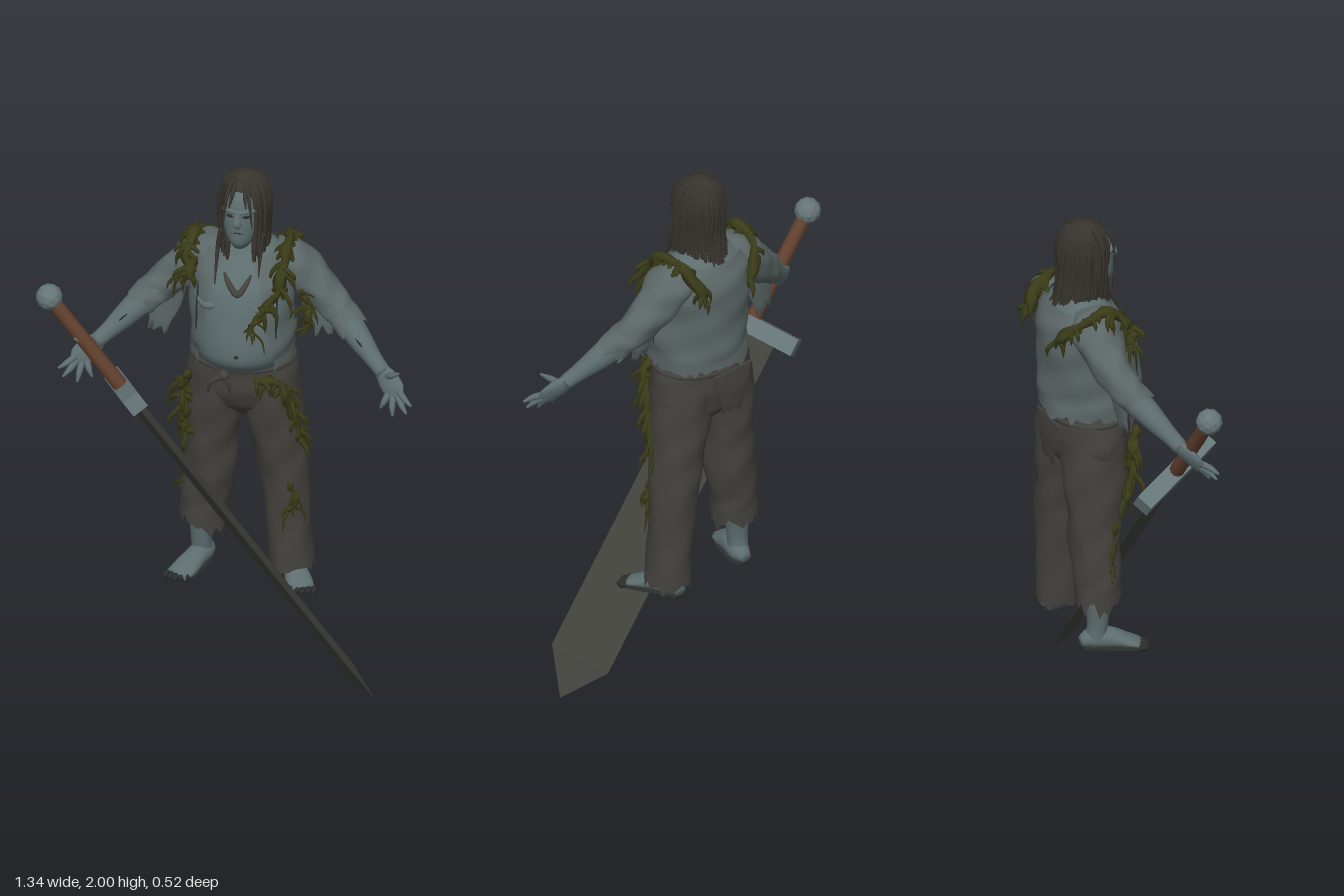
import * as THREE from 'three';

const paint = (name, color, side = THREE.FrontSide) => Object.assign(new THREE.MeshStandardMaterial({ color, side }), { name });
const V = (x, y, z) => new THREE.Vector3(x, y, z);

export function createModel() {
  const D = THREE.DoubleSide;
  const skin = paint('skin', 0x5d6d6e), shirt = paint('shirt', 0x5b6666, D), cloth = paint('trousers', 0x44423d, D);
  const hair = paint('hair', 0x38342e), moss = paint('moss', 0x3a3b18), dark = paint('dark marks', 0x2a2d2d, D);
  const steel = paint('steel', 0x667578), iron = paint('blade', 0x42423d), leather = paint('grip', 0x62402e);
  const root = new THREE.Group();
  let seed = 7;
  const rnd = () => (seed = (seed * 16807) % 2147483647) / 2147483647;
  const jitter = (s) => (rnd() - 0.5) * 2 * s;

  const add = (name, geo, mat, parent = root) => {
    const m = new THREE.Mesh(geo, mat);
    m.name = name;
    parent.add(m);
    return m;
  };

  // Smooth skin over elliptical sections [x, y, z, rx, rz] along a curve.
  // flat: horizontal sections; gap(t): half-angle left open at the front; jag: ragged last edge
  function sweep(name, mat, pts, o = {}) {
    const { seg = 16, rows = pts.length * 4, ref = V(0, 0, 1), flat, gap, jag = 0, wrinkle = 0, open } = o;
    const path = new THREE.CatmullRomCurve3(pts.map((p) => V(p[0], p[1], p[2])));
    const size = new THREE.CatmullRomCurve3(pts.map((p, i) => V(p[3], p[4] ?? p[3], i * 0.1)));
    const pos = [], idx = [], cols = gap ? seg + 1 : seg;
    const teeth = Array.from({ length: cols }, () => rnd() * jag);
    for (let i = 0; i <= rows; i++) {
      const t = i / rows, p = path.getPoint(t), r = size.getPoint(t);
      const T = flat ? V(0, -1, 0) : path.getTangent(t);
      const S = ref.clone().cross(T).normalize(), U = T.clone().cross(S);
      const g = gap ? gap(t) : 0, start = gap ? Math.PI / 2 + g : 0;
      for (let j = 0; j < cols; j++) {
        const a = start + (j / seg) * (Math.PI * 2 - 2 * g);
        const k = 1 + wrinkle * (Math.sin(5 * a + 11 * t) + Math.sin(3 * a - 23 * t)) * 0.5;
        const q = p.clone().addScaledVector(S, Math.cos(a) * r.x * k).addScaledVector(U, Math.sin(a) * r.y * k);
        if (i === rows) q.addScaledVector(T, teeth[j]);
        pos.push(q.x, q.y, q.z);
      }
    }
    for (let i = 0; i < rows; i++) for (let j = 0; j < seg; j++) {
      const n = gap ? j + 1 : (j + 1) % seg, a = i * cols + j, b = i * cols + n;
      idx.push(a, b, b + cols, a, b + cols, a + cols);
    }
    if (!open && !gap) {
      const c = pos.length / 3, e = rows * cols, p0 = path.getPoint(0), p1 = path.getPoint(1);
      pos.push(p0.x, p0.y, p0.z, p1.x, p1.y, p1.z);
      for (let j = 0; j < seg; j++) {
        const n = (j + 1) % seg;
        idx.push(c, n, j, c + 1, e + j, e + n);
      }
    }
    const geo = new THREE.BufferGeometry();
    geo.setAttribute('position', new THREE.Float32BufferAttribute(pos, 3));
    geo.setIndex(idx);
    geo.computeVertexNormals();
    return add(name, geo, mat, o.parent);
  }

  // Torso with heavy belly, and the open shirt over it
  const trunk = [[0.03, 1.8, -0.07, 0.05, 0.055], [0.03, 1.74, -0.08, 0.07, 0.068], [0.03, 1.7, -0.085, 0.125, 0.09],
    [0.03, 1.65, -0.08, 0.165, 0.125], [0.03, 1.58, -0.062, 0.175, 0.155], [0.03, 1.48, -0.045, 0.172, 0.166],
    [0.035, 1.38, -0.037, 0.172, 0.174], [0.035, 1.32, -0.04, 0.165, 0.168], [0.03, 1.26, -0.06, 0.15, 0.13]];
  sweep('torso', skin, trunk, { flat: true, seg: 32 });
  sweep('shirt', shirt, [...trunk.slice(2, 7).map(([x, y, z, a, b]) => [x, y, z - 0.004, a + 0.01, b + 0.009]),
    [0.03, 1.31, -0.05, 0.18, 0.175]], { flat: true, seg: 48, gap: (t) => 0.3 + 0.55 * t, jag: 0.04, wrinkle: 0.025, rows: 30 });
  const navel = add('navel', new THREE.CircleGeometry(0.008, 10), dark);
  navel.position.set(0.045, 1.365, 0.1375);
  for (const x of [-0.07, 0.13])
    sweep('chestFold', skin, [[x - 0.05, 1.545, x < 0 ? 0.035 : 0.085, 0.006], [x, 1.53, 0.08, 0.014], [x + 0.05, 1.545, x < 0 ? 0.085 : 0.035, 0.006]], { seg: 8 });
  sweep('collarTrim', cloth, [[-0.015, 1.65, 0.045, 0.004], [0.005, 1.62, 0.066, 0.011], [0.04, 1.59, 0.088, 0.012],
    [0.065, 1.62, 0.066, 0.009], [0.08, 1.65, 0.045, 0.004]], { seg: 8, ref: V(0, 0.01, 1) });
  for (const [x, y] of [[-0.108, 1.36], [0.172, 1.42]])
    sweep('shirtEdge', dark, [[x, 1.6, 0.04, 0.002], [x, 1.5, 0.064, 0.004], [x, y, 0.072, 0.002]], { seg: 6 });

  // Head and face
  sweep('head', skin, [[0.03, 1.97, -0.06, 0.04, 0.045], [0.03, 1.93, -0.06, 0.066, 0.084], [0.03, 1.87, -0.05, 0.069, 0.088],
    [0.03, 1.81, -0.045, 0.064, 0.087], [0.03, 1.765, -0.04, 0.05, 0.08], [0.03, 1.735, -0.035, 0.032, 0.055]], { flat: true, seg: 24 });
  sweep('nose', skin, [[0.03, 1.895, 0.03, 0.009], [0.03, 1.87, 0.042, 0.012], [0.03, 1.85, 0.049, 0.016, 0.013], [0.03, 1.836, 0.04, 0.01]]);
  sweep('brow', skin, [[-0.025, 1.888, 0.008, 0.006], [0, 1.893, 0.027, 0.009], [0.03, 1.889, 0.032, 0.008], [0.06, 1.893, 0.027, 0.009], [0.085, 1.888, 0.008, 0.006]]);
  sweep('mouth', dark, [[0.008, 1.808, 0.036, 0.001], [0.03, 1.811, 0.041, 0.003], [0.052, 1.808, 0.036, 0.001]], { seg: 6 });
  for (const s of [-1, 1]) {
    const eye = add('eye', new THREE.SphereGeometry(1, 10, 6), dark);
    eye.scale.set(0.014, 0.006, 0.004);
    eye.position.set(0.03 + s * 0.029, 1.874, 0.031);
    eye.rotation.y = s * 0.35;
  }

  // Hair cap and hanging wet strands
  const cap = add('hairCap', new THREE.SphereGeometry(1, 24, 16), hair);
  cap.scale.set(0.081, 0.098, 0.086);
  cap.position.set(0.033, 1.902, -0.07);
  for (let i = 0; i < 46; i++) {
    const a = 0.68 + (i / 45) * (Math.PI * 2 - 1.36), s = Math.sin(a), c = Math.cos(a);
    const at = (k, y, r, kz = k) => [0.035 + s * 0.08 * k + jitter(0.006), y, -0.068 + c * 0.085 * kz + jitter(0.004), r, r * 0.8];
    const end = c < 0 ? 1.45 : 1.2;
    sweep('hairStrand', hair, [at(0.15, 1.99, 0.008), at(0.72, 1.966, 0.013), at(1, 1.9, 0.012), at(0.98, 1.8, 0.011),
      at(0.98, 1.73, 0.009, 1.15), at(c < 0 ? 0.95 : 1.05, 1.66 + jitter(0.045), 0.002, end)], { seg: 6, rows: 14 });
  }
  for (const [x, x2, y2] of [[0, -0.022, 1.84], [0.05, 0.08, 1.83], [0.015, -0.002, 1.9], [0.045, 0.058, 1.905]])
    sweep('foreheadStrand', hair, [[x, 1.985, -0.03, 0.007], [(x + x2) / 2, 1.945, 0.016, 0.007], [x2, y2, 0.03, 0.002]], { seg: 6 });
  for (const [x, y, z] of [[-0.045, 1.61, 0.065], [0.105, 1.64, 0.045]])
    sweep('chestStrand', hair, [[x + 0.01, 1.8, 0.005, 0.008], [x, 1.73, 0.005, 0.008], [x, y, z, 0.002]], { seg: 6 });

  // Trousers: seat, two legs with torn hems, tied belt
  const cut = { open: true, seg: 30, wrinkle: 0.045, rows: 28 };
  sweep('trouserSeat', cloth, [[0.03, 1.305, -0.066, 0.172, 0.14], [0.03, 1.25, -0.068, 0.19, 0.138], [0.03, 1.17, -0.07, 0.2, 0.133],
    [0.033, 1.1, -0.075, 0.185, 0.11], [0.033, 1.05, -0.075, 0.1, 0.06], [0.033, 1.03, -0.075, 0.05, 0.04]], { flat: true, seg: 30, wrinkle: 0.015 });
  sweep('rightTrouserLeg', cloth, [[-0.06, 1.2, -0.07, 0.1, 0.125], [-0.072, 1.05, -0.075, 0.1, 0.116], [-0.084, 0.92, -0.078, 0.092, 0.101],
    [-0.087, 0.8, -0.083, 0.093, 0.092], [-0.108, 0.67, -0.085, 0.085, 0.082], [-0.112, 0.6, -0.085, 0.085, 0.08]], { ...cut, jag: 0.08 });
  sweep('leftTrouserLeg', cloth, [[0.125, 1.2, -0.07, 0.1, 0.125], [0.137, 1.05, -0.075, 0.1, 0.116], [0.155, 0.92, -0.079, 0.093, 0.101],
    [0.172, 0.8, -0.085, 0.087, 0.09], [0.185, 0.6, -0.083, 0.077, 0.082], [0.196, 0.44, -0.08, 0.08, 0.083]], { ...cut, jag: 0.04 });
  const belt = add('belt', new THREE.TorusGeometry(1, 0.045, 8, 36), cloth);
  belt.scale.set(0.18, 0.14, 0.24);
  belt.rotation.x = Math.PI / 2;
  belt.position.set(0.03, 1.272, -0.064);
  const knot = add('beltKnot', new THREE.SphereGeometry(0.02, 10, 8), cloth);
  knot.position.set(-0.01, 1.25, 0.075);
  for (const dx of [-0.06, 0.02])
    sweep('beltEnd', cloth, [[-0.01, 1.25, 0.08, 0.01], [-0.01 + dx * 0.7, 1.22, 0.078, 0.009], [-0.01 + dx, 1.17, 0.066, 0.004]], { seg: 6 });
  sweep('trouserFlap', cloth, [[0.01, 1.27, -0.21, 0.09, 0.006], [0.01, 1.2, -0.214, 0.075, 0.006], [0.015, 1.13, -0.212, 0.045, 0.004]], { jag: 0.04 });

  // Shins, feet and dirty toes and soles
  for (const [name, x, toeX] of [['right', -0.115, -0.183], ['left', 0.195, 0.262]]) {
    sweep(name + 'Shin', skin, [[x, 0.72, -0.085, 0.055], [x - 0.004, 0.6, -0.09, 0.05], [x - 0.008, 0.48, -0.09, 0.037], [x - 0.005, 0.4, -0.1, 0.037]]);
    sweep(name + 'Foot', skin, [[x + 0.005, 0.41, -0.15, 0.018, 0.02], [x, 0.418, -0.11, 0.037, 0.038], [x * 0.7 + toeX * 0.3, 0.417, -0.05, 0.036, 0.04],
      [x * 0.3 + toeX * 0.7, 0.402, 0.01, 0.021, 0.046], [toeX, 0.394, 0.045, 0.012, 0.042]], { ref: V(1, 0, 0) });
    sweep(name + 'Sole', dark, [[x + 0.004, 0.383, -0.14, 0.004, 0.022], [x, 0.381, -0.1, 0.004, 0.032],
      [x * 0.4 + toeX * 0.6, 0.381, 0, 0.004, 0.042], [toeX, 0.382, 0.045, 0.004, 0.04]], { ref: V(1, 0, 0) });
    for (let i = 0; i < 5; i++) {
      const toe = add(name + 'Toe', new THREE.SphereGeometry(0.012, 8, 6), dark);
      toe.scale.z = 1.9;
      toe.position.set(toeX + (i - 2) * 0.019, 0.392, 0.056 - Math.abs(i - 2) * 0.007);
    }
  }

  // Arms: drawn for the left, mirrored for the right
  for (const side of ['left', 'right']) {
    const left = side === 'left', M = (pts) => (left ? pts : pts.map(([x, ...r]) => [0.085 - x, ...r]));
    sweep(side + 'Sleeve', shirt, M([[0.13, 1.675, -0.085, 0.05, 0.07], [0.19, 1.645, -0.092, 0.075, 0.087], [0.27, 1.575, -0.088, 0.07, 0.072],
      [0.35, 1.5, -0.066, 0.06, 0.058], [0.4, 1.455, -0.036, 0.056, 0.054]]), { open: true, seg: 24, wrinkle: 0.08, jag: 0.05, rows: 24 });
    const shift = left ? [-0.02, 0.04] : [0.02, -0.02];
    sweep(side + 'SleeveRag', shirt, M([[0.31, 1.53, -0.07, 0.075, 0.02], [0.315, 1.45, -0.07, 0.06, 0.014], [0.33, 1.37, -0.065, 0.035, 0.008]]
      .map(([x, y, ...r]) => [x + shift[0], y + shift[1], ...r])), { jag: 0.05 });
    sweep(side + 'Forearm', skin, M([[0.3, 1.55, -0.08, 0.05], [0.38, 1.475, -0.048, 0.05], [0.45, 1.41, -0.005, 0.043], [0.51, 1.355, 0.035, 0.031], [0.55, 1.32, 0.06, 0.027]]));
    for (const [x, y, z] of [[0.43, 1.43, 0.024], [0.46, 1.415, 0.038]])
      sweep(side + 'Scratch', dark, M([[x - 0.025, y + 0.02, z - 0.012, 0.001], [x, y, z, 0.004], [x + 0.02, y - 0.022, z + 0.008, 0.001]]), { seg: 5 });
    sweep(side + 'Palm', skin, M([[0.535, 1.33, 0.05, 0.026, 0.022], [0.57, 1.3, 0.075, 0.042, 0.019], [0.6, 1.27, 0.098, 0.04, 0.014], [0.612, 1.26, 0.106, 0.028, 0.009]]));
    const tips = [[0.665, 1.25, 0.148], [0.648, 1.218, 0.15], [0.598, 1.2, 0.145], [0.55, 1.212, 0.12], [0.615, 1.358, 0.115]];
    const roots = [[0.61, 1.28, 0.1], [0.605, 1.265, 0.1], [0.59, 1.258, 0.1], [0.575, 1.262, 0.092], [0.56, 1.315, 0.07]];
    tips.forEach((b, i) => {
      const a = roots[i], mid = a.map((v, k) => (v + b[k]) / 2 + (k === 2 ? 0.006 : 0));
      sweep(side + (i === 4 ? 'Thumb' : 'Finger'), skin, M([[...a, 0.012], [...mid, 0.011], [...b, 0.004]]), { seg: 8 });
    });
  }

  // Moss garlands: a lumpy core with hanging tendrils
  function garland(pts, r, count) {
    const group = new THREE.Group();
    group.name = 'mossGarland';
    root.add(group);
    const curve = new THREE.CatmullRomCurve3(pts.map((p) => V(...p)));
    const core = curve.getPoints(12).map((p, i) => [p.x + jitter(0.008), p.y, p.z + jitter(0.006), r * (i % 12 ? 0.6 + rnd() * 0.7 : 0.25)]);
    sweep('mossCore', moss, core, { seg: 8, wrinkle: 0.3, ref: V(1, 0.1, 0), parent: group });
    for (let i = 0; i < count; i++) {
      const p = curve.getPoint(rnd()), dx = jitter(0.045), dz = jitter(0.03), l = 0.015 + rnd() * 0.075;
      sweep('mossTendril', moss, [[p.x, p.y + 0.008, p.z, r * 0.5], [p.x + dx, p.y - l * 0.4, p.z + dz, r * 0.45],
        [p.x + dx * 1.2, p.y - l, p.z + dz, 0.001]], { seg: 5, rows: 6, parent: group });
    }
  }
  garland([[0.13, 1.54, 0.098], [0.175, 1.61, 0.06], [0.19, 1.68, 0.015], [0.185, 1.735, -0.07], [0.175, 1.7, -0.17], [0.15, 1.6, -0.22]], 0.019, 46);
  garland([[0.16, 1.58, 0.085], [0.12, 1.52, 0.11], [0.085, 1.46, 0.128]], 0.009, 10);
  garland([[-0.125, 1.6, 0.05], [-0.155, 1.67, 0.01], [-0.145, 1.73, -0.07], [-0.125, 1.69, -0.165], [-0.06, 1.6, -0.222]], 0.019, 38);
  garland([[-0.12, 1.68, 0.01], [-0.16, 1.62, 0.025], [-0.19, 1.57, 0]], 0.013, 10);
  garland([[0.25, 1.58, -0.02], [0.262, 1.5, -0.02], [0.268, 1.4, -0.03]], 0.011, 12);
  garland([[-0.13, 1.24, 0.05], [-0.17, 1.16, 0.025], [-0.162, 1.05, 0.02], [-0.17, 0.96, -0.01]], 0.018, 28);
  garland([[0.1, 1.245, 0.078], [0.18, 1.22, 0.05], [0.215, 1.12, 0.01], [0.222, 1.0, -0.02], [0.235, 0.93, -0.04]], 0.018, 32);
  garland([[0.2, 0.8, 0.003], [0.22, 0.73, -0.004], [0.21, 0.68, 0]], 0.011, 9);
  garland([[-0.175, 0.9, -0.05], [-0.18, 0.75, -0.06], [-0.185, 0.68, -0.06]], 0.011, 9);

  // Greatsword: local y runs towards the pommel, local x across the blade
  const sword = new THREE.Group();
  sword.name = 'sword';
  root.add(sword);
  const Y = V(-0.27, 0.35, -0.003).normalize(), X = V(0.14, 0.11, 0.33);
  X.addScaledVector(Y, -X.dot(Y)).normalize();
  sword.quaternion.setFromRotationMatrix(new THREE.Matrix4().makeBasis(X, Y, X.clone().cross(Y)));
  sword.position.set(-0.353, 1.15, 0.092);
  const facet = (g) => { const f = g.index ? g.toNonIndexed() : g; f.computeVertexNormals(); return f; };
  add('blade', facet(new THREE.CylinderGeometry(1, 1, 1.3, 4, 1, true).scale(0.111, 1, 0.02).translate(0, -0.65, 0)), iron, sword);
  add('bladePoint', facet(new THREE.ConeGeometry(1, 0.152, 4, 1, true).rotateX(Math.PI).scale(0.111, 1, 0.02).translate(0, -1.376, 0)), iron, sword);
  add('guard', new THREE.BoxGeometry(0.365, 0.062, 0.062), steel, sword);
  add('grip', new THREE.CylinderGeometry(0.025, 0.027, 0.4, 10).translate(0, 0.22, 0), leather, sword);
  add('pommel', facet(new THREE.IcosahedronGeometry(0.047, 1).translate(0, 0.442, 0)), steel, sword);
  return root;
}
